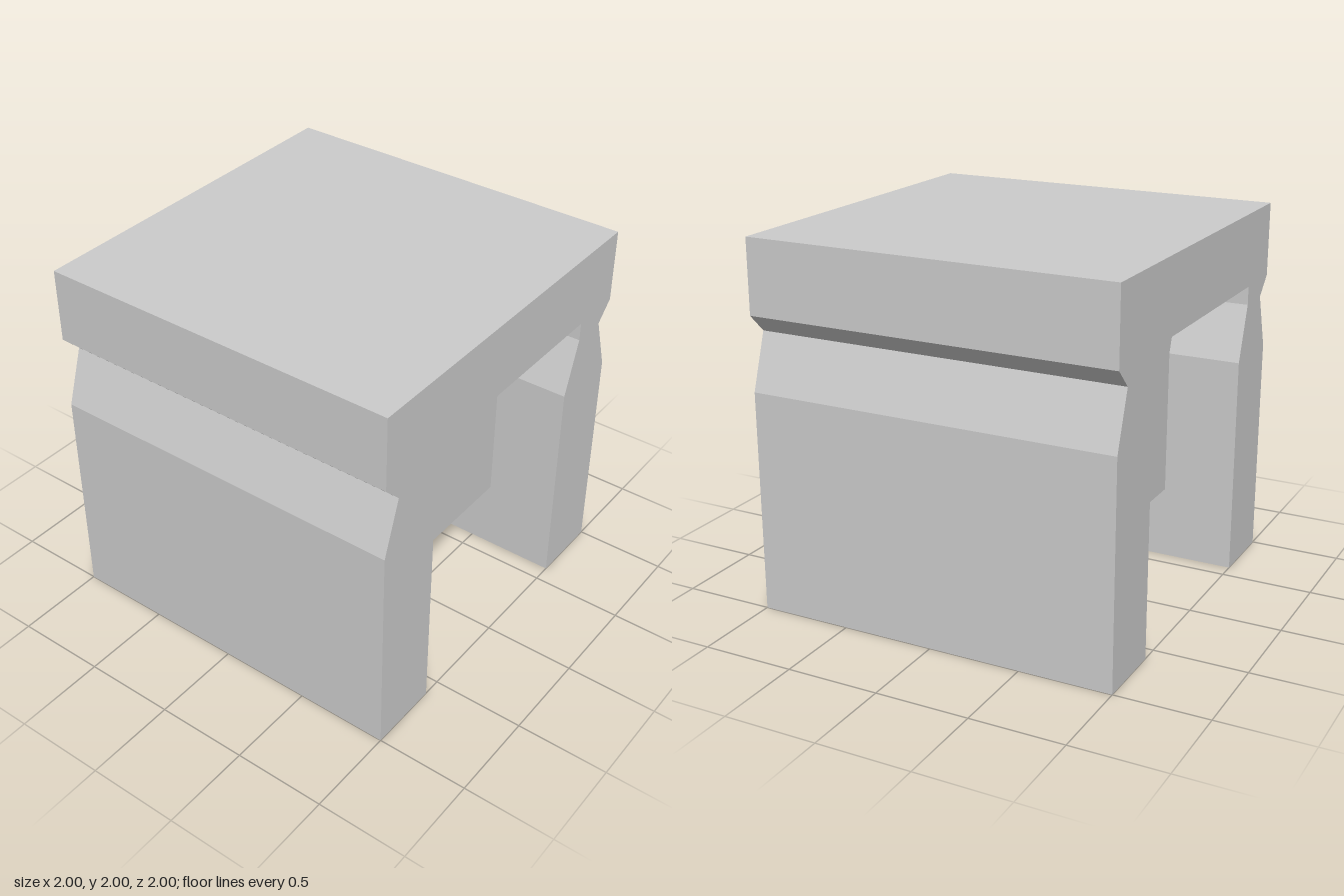
import * as THREE from 'three';

const material = new THREE.MeshStandardMaterial({ color: 0xcccccc, flatShading: true });

// Half-profiles on the +x side, listed bottom to top
const outer = [[1, 0], [1, 1.2], [0.9, 1.5], [1, 1.6], [1, 2]];
const inner = [[0.6, 0], [0.6, 1.2], [0.7, 1.5], [0.7, 1.6]];

const mirrored = (half) => half.map(([x, y]) => [-x, y]).reverse();

// Extrude an outline along z, centred on z = 0
function prism(name, points, depth) {
  const shape = new THREE.Shape(points.map(([x, y]) => new THREE.Vector2(x, y)));
  const geometry = new THREE.ExtrudeGeometry(shape, { depth, bevelEnabled: false });
  geometry.translate(0, 0, -depth / 2);
  const mesh = new THREE.Mesh(geometry, material);
  mesh.name = name;
  return mesh;
}

export function createModel() {
  const group = new THREE.Group();
  group.name = 'notchedArchBlock';

  // Top slab and both notched legs in one arch-shaped section
  const arch = [...outer, ...mirrored(outer), ...inner.map(([x, y]) => [-x, y]), ...[...inner].reverse()];
  group.add(prism('archFrame', arch, 2));

  // Hanging core that fills the channel, recessed at front and back
  const coreHalf = [[0.6, 0.4], ...inner.slice(1)];
  group.add(prism('core', [...coreHalf, ...mirrored(coreHalf)], 1.2));

  return group;
}
